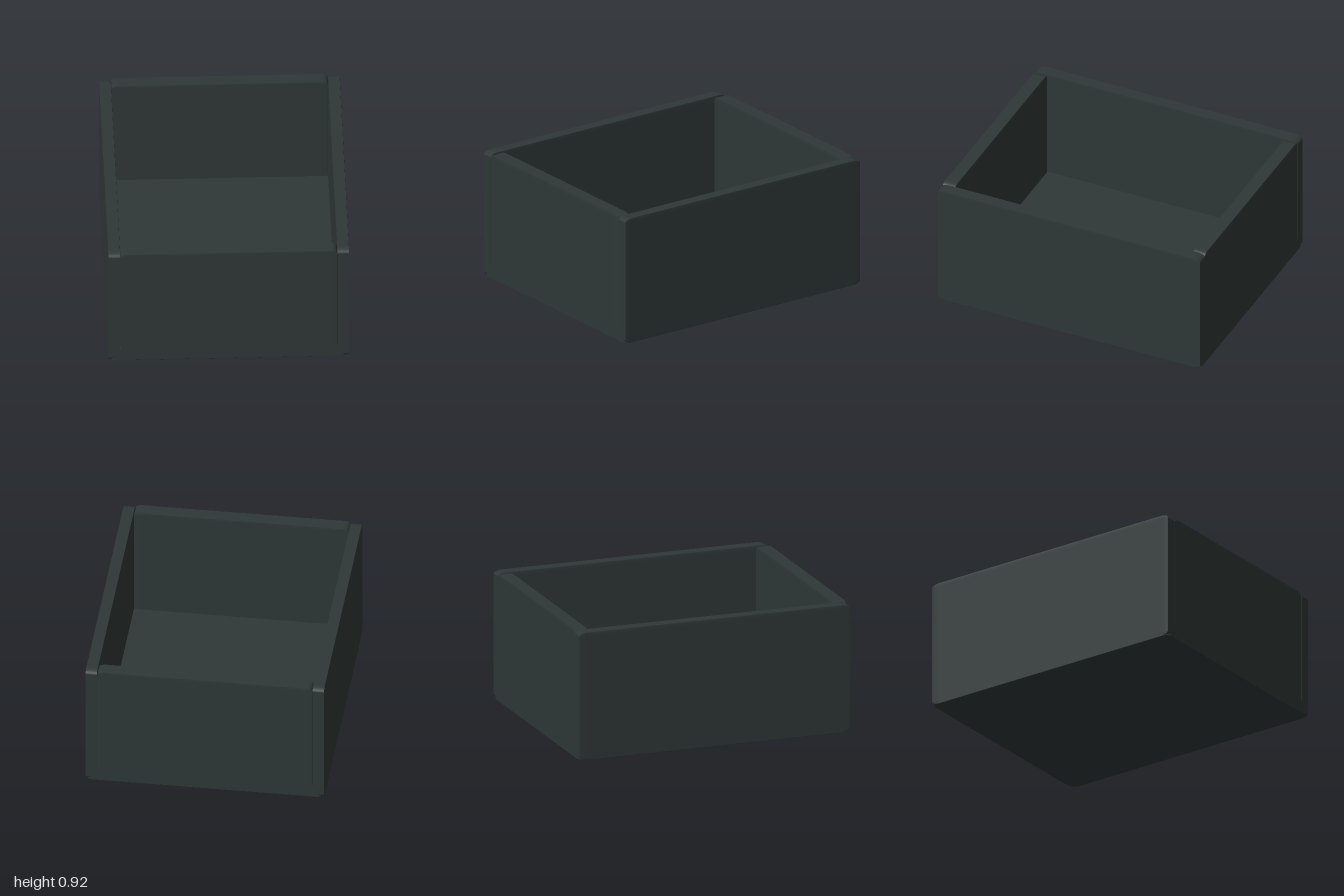
import * as THREE from 'three';
import { RoundedBoxGeometry } from 'three/addons/geometries/RoundedBoxGeometry.js';

const WIDTH = 1.66, HEIGHT = 0.915, DEPTH = 2;
const SIDE = 0.083, END = 0.097, FLOOR = 0.1;

export function createModel() {
  const group = new THREE.Group();
  group.name = 'openBox';
  const charcoal = new THREE.MeshStandardMaterial({ color: 0x2f3837 });
  charcoal.name = 'charcoal';

  // A softened unit cube stretched to size, so the bevel follows each panel's proportions
  function panel(name, w, h, d, x, z) {
    const geometry = new RoundedBoxGeometry(1, 1, 1, 3, 0.03);
    geometry.scale(w, h, d);
    const mesh = new THREE.Mesh(geometry, charcoal);
    mesh.name = name;
    mesh.position.set(x, h / 2, z);
    group.add(mesh);
  }

  // Floor plate under the whole box
  panel('floor', WIDTH, FLOOR, DEPTH, 0, 0);

  // Long side walls
  for (const s of [1, -1]) {
    panel(s > 0 ? 'leftWall' : 'rightWall', SIDE, HEIGHT, DEPTH, s * (WIDTH - SIDE) / 2, 0);
  }

  // End walls fitted between the sides
  for (const s of [1, -1]) {
    panel(s > 0 ? 'frontWall' : 'backWall', WIDTH - 2 * SIDE, HEIGHT, END, 0, s * (DEPTH - END) / 2);
  }

  return group;
}
